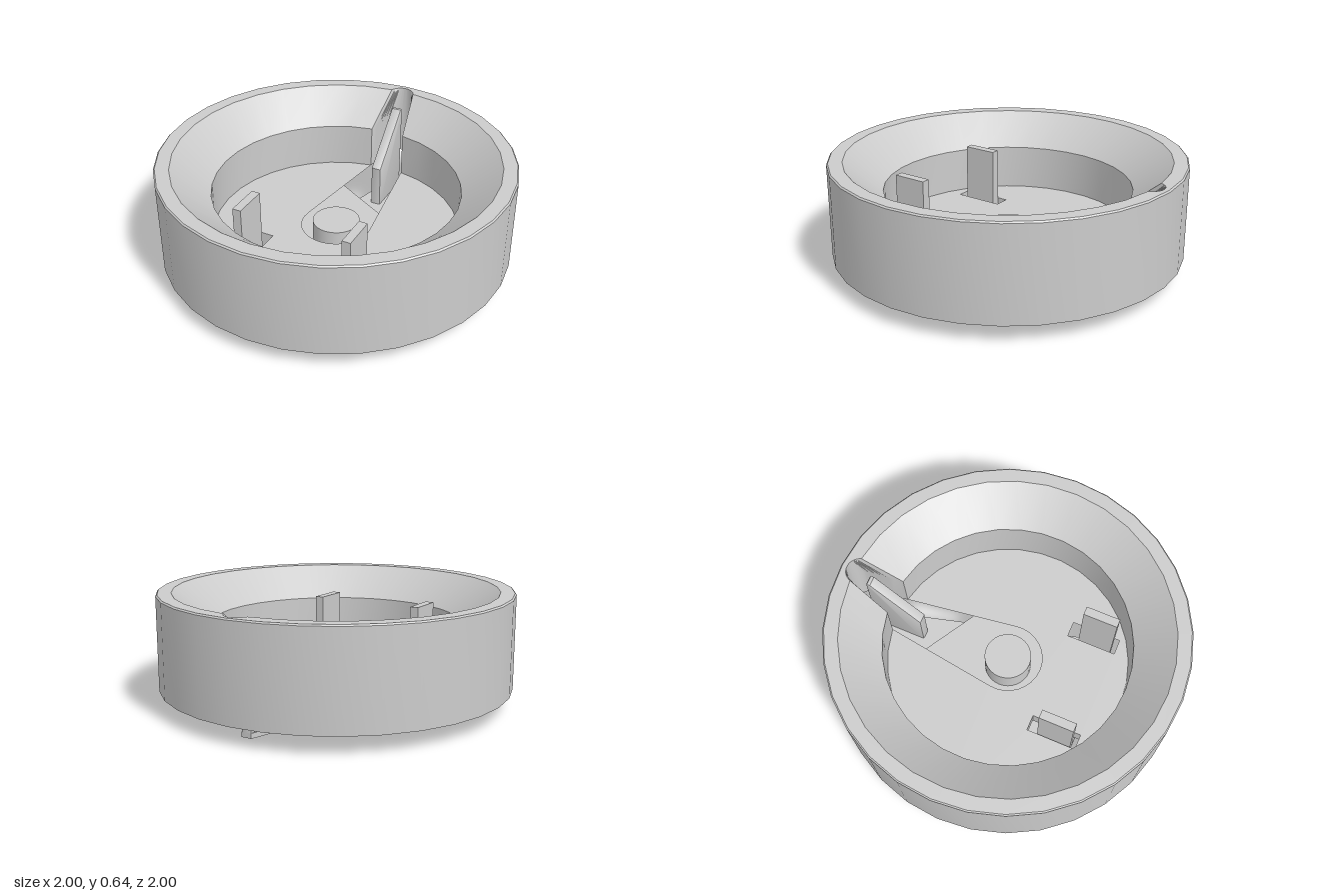
import * as THREE from 'three';
import { toCreasedNormals } from 'three/addons/utils/BufferGeometryUtils.js';

const material = new THREE.MeshStandardMaterial({ color: 0xcccccc });

function add(group, name, geometry) {
  const mesh = new THREE.Mesh(toCreasedNormals(geometry, 0.6), material);
  mesh.name = name;
  group.add(mesh);
  return mesh;
}

const toShape = (points, Type = THREE.Shape) =>
  new Type(points.map(([x, z]) => new THREE.Vector2(x, -z)));

// Flat plate from an [x, z] outline, standing on height y
function slab(points, y, height, holes = []) {
  const shape = toShape(points);
  shape.holes = holes.map((h) => toShape(h, THREE.Path));
  const g = new THREE.ExtrudeGeometry(shape, { depth: height, bevelEnabled: false });
  return g.rotateX(-Math.PI / 2).translate(0, y, 0);
}

const polar = (a, r) => [r * Math.sin(a), -r * Math.cos(a)];
const circle = (r, n = 32) => Array.from({ length: n }, (_, i) => polar((i / n) * 2 * Math.PI, r));

// Radius of the tapered pointer slot at an angle from the back
const CAP_Z = 0.89, CAP_R = 0.075;
function slotRadius(a) {
  const s = Math.sin(a), c = Math.cos(a);
  const side = 0.2 / (s + 0.14 * c);
  const root = CAP_R ** 2 - (CAP_Z * s) ** 2;
  return root > 0 ? Math.min(side, CAP_Z * c + Math.sqrt(root)) : side;
}

// Angles and radii of a circular bore merged with the slot
function bore(r) {
  let lo = 0, hi = 1.2;
  for (let i = 0; i < 40; i++) {
    const mid = (lo + hi) / 2;
    if (slotRadius(mid) > r) lo = mid; else hi = mid;
  }
  const half = [];
  for (let k = 0; k <= 14; k++) half.push([(lo * k) / 14, slotRadius((lo * k) / 14)]);
  const ring = [...half];
  for (let k = 1; k < 32; k++) ring.push([lo + ((2 * Math.PI - 2 * lo) * k) / 32, r]);
  for (let k = 14; k > 0; k--) ring.push([2 * Math.PI - half[k][0], half[k][1]]);
  return ring;
}

// Closed skin through rings of equal point count, from outer/top to inner/bottom
function loft(rings) {
  const n = rings[0].length, pos = rings.flat(2), index = [];
  for (let j = 0; j < rings.length - 1; j++) {
    for (let i = 0; i < n; i++) {
      const a = j * n + i, b = j * n + ((i + 1) % n);
      index.push(a, a + n, b, b, a + n, b + n);
    }
  }
  const g = new THREE.BufferGeometry();
  g.setAttribute('position', new THREE.Float32BufferAttribute(pos, 3));
  g.setIndex(index);
  g.computeVertexNormals();
  return g;
}

export function createModel() {
  const group = new THREE.Group();

  // Dish: outer shell, slotted inner wall with conical mouth, pierced floor
  const dish = new THREE.Group();
  dish.name = 'dish';
  group.add(dish);
  const profile = [[0.972, 0.1], [1, 0.1], [1, 0.632], [0.992, 0.64], [0.972, 0.64]];
  add(dish, 'outerWall', new THREE.LatheGeometry(profile.map((p) => new THREE.Vector2(...p)), 32));

  const at = (ring, y) => ring.map(([a, r]) => [r * Math.sin(a), y, -r * Math.cos(a)]);
  const mouth = bore(0.915), well = bore(0.7);
  const rim = mouth.map(([a]) => [a, 0.978]);
  add(dish, 'innerWall', loft([at(rim, 0.64), at(mouth, 0.64), at(well, 0.46), at(well, 0.2)]));

  const keyhole = [];
  for (let k = -14; k <= 14; k++) {
    const a = (0.09 * k) / 14;
    keyhole.push(polar(a, slotRadius(Math.abs(a))));
  }
  for (let k = 0; k <= 16; k++) keyhole.push(polar(1.43 + ((2 * Math.PI - 2.86) * k) / 16, 0.2));
  const clipHole = (s) => [[s * 0.265, 0.27], [s * 0.355, 0.27], [s * 0.355, 0.56], [s * 0.265, 0.56]];
  add(dish, 'floor', slab(circle(0.99), 0.1, 0.1, [keyhole, clipHole(1), clipHole(-1)]));

  // Turned rectangular plate with its pivot post
  const turned = new THREE.BoxGeometry(1.0, 0.045, 0.6).rotateY(-Math.PI / 6);
  add(group, 'crossPlate', turned.translate(-0.135, 0.0625, -0.16));
  add(group, 'pivotPost', new THREE.CylinderGeometry(0.135, 0.135, 0.15, 32).translate(0, 0.155, 0));

  // Bottom bracket: tapered plate, rear fin and two front clips
  const bracket = new THREE.Group();
  bracket.name = 'bracket';
  group.add(bracket);
  add(bracket, 'taperedPlate', slab(
    [[0.35, 0.53], [0.35, 0.33], [0.03, -0.85], [-0.03, -0.85], [-0.35, 0.33], [-0.35, 0.53]], 0, 0.028));

  const finShape = new THREE.Shape([[0.54, 0.01], [0.85, 0.01], [0.85, 0.55], [0.843, 0.56], [0.825, 0.56], [0.54, 0.28]]
    .map((p) => new THREE.Vector2(...p)));
  const fin = new THREE.ExtrudeGeometry(finShape, {
    depth: 0.046, bevelSize: 0.007, bevelOffset: -0.007, bevelThickness: 0.007, bevelSegments: 2 });
  add(bracket, 'fin', fin.translate(0, 0, -0.023).rotateY(Math.PI / 2));

  for (const s of [1, -1]) {
    add(bracket, s > 0 ? 'leftClip' : 'rightClip',
      new THREE.BoxGeometry(0.05, 0.505, 0.2).translate(s * 0.325, 0.2575, 0.43));
  }
  return group;
}
